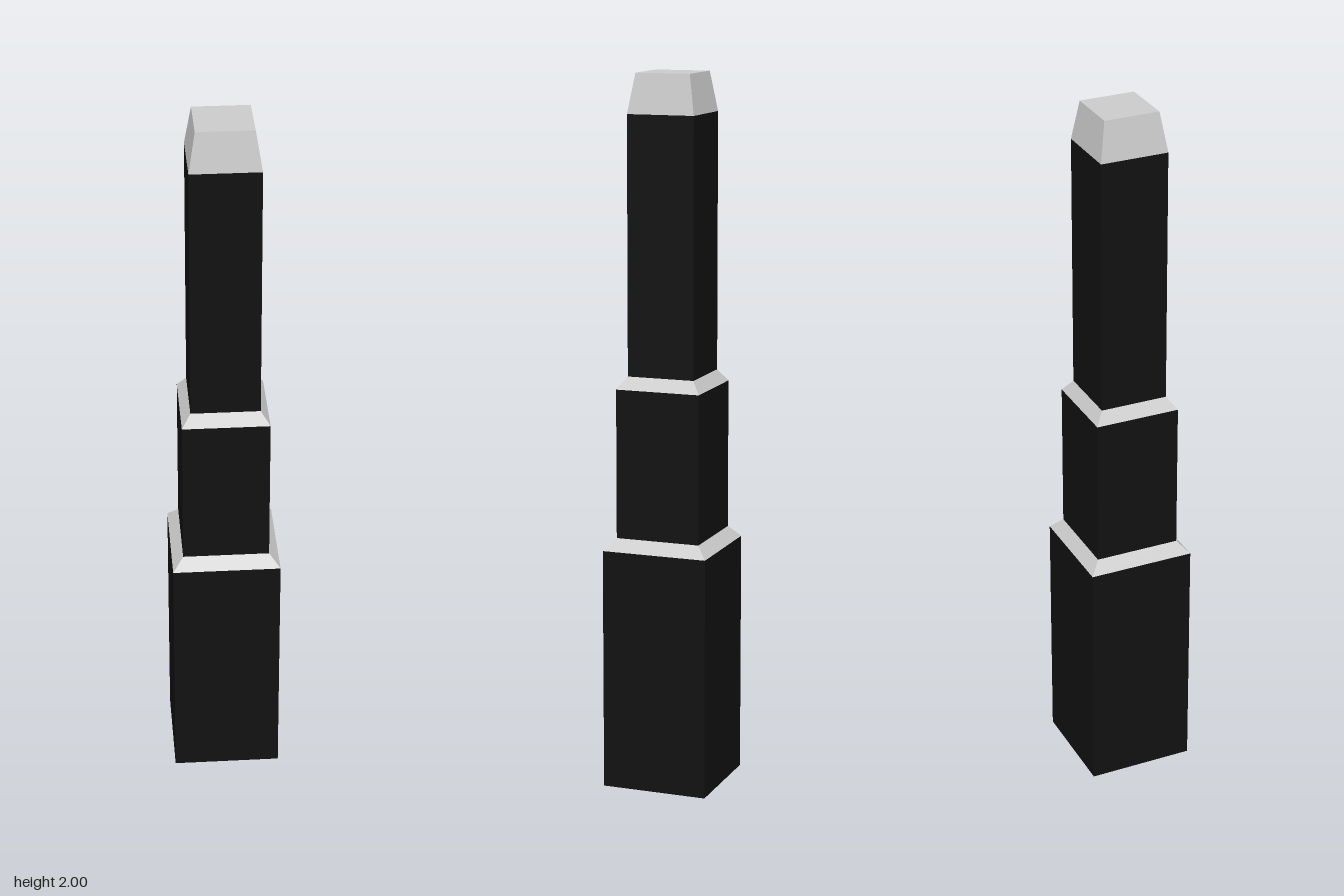
import * as THREE from 'three';

const dark = new THREE.MeshStandardMaterial({ color: 0x111111, flatShading: true });
const grey = new THREE.MeshStandardMaterial({ color: 0xcccccc, flatShading: true });

// Open square tube, tapering from half-width h0 at y0 to h1 at y1
function squareTier(name, h0, y0, h1, y1, material) {
  const geo = new THREE.CylinderGeometry(h1 * Math.SQRT2, h0 * Math.SQRT2, y1 - y0, 4, 1, true);
  geo.rotateY(Math.PI / 4);
  geo.translate(0, (y0 + y1) / 2, 0);
  const mesh = new THREE.Mesh(geo, material);
  mesh.name = name;
  return mesh;
}

// Horizontal square facing up (dir 1) or down (dir -1)
function squareCap(name, half, y, dir, material) {
  const geo = new THREE.PlaneGeometry(half * 2, half * 2);
  geo.rotateX(-dir * Math.PI / 2);
  geo.translate(0, y, 0);
  const mesh = new THREE.Mesh(geo, material);
  mesh.name = name;
  return mesh;
}

export function createModel() {
  const group = new THREE.Group();
  group.name = 'steppedTower';

  // Half-width and height at each step of the outline, bottom to top
  const steps = [
    [0.151, 0], [0.151, 0.685], [0.121, 0.718], [0.121, 1.138],
    [0.096, 1.172], [0.096, 1.89], [0.078, 2],
  ];
  const names = ['lowerShaft', 'lowerLedge', 'middleShaft', 'upperLedge', 'upperShaft', 'taperedCrown'];

  // Dark shafts alternate with grey sloping ledges
  names.forEach((name, i) => {
    group.add(squareTier(name, ...steps[i], ...steps[i + 1], i % 2 ? grey : dark));
  });

  // Flat roof and underside
  group.add(squareCap('roof', 0.078, 2, 1, grey));
  group.add(squareCap('underside', 0.151, 0, -1, dark));
  return group;
}
